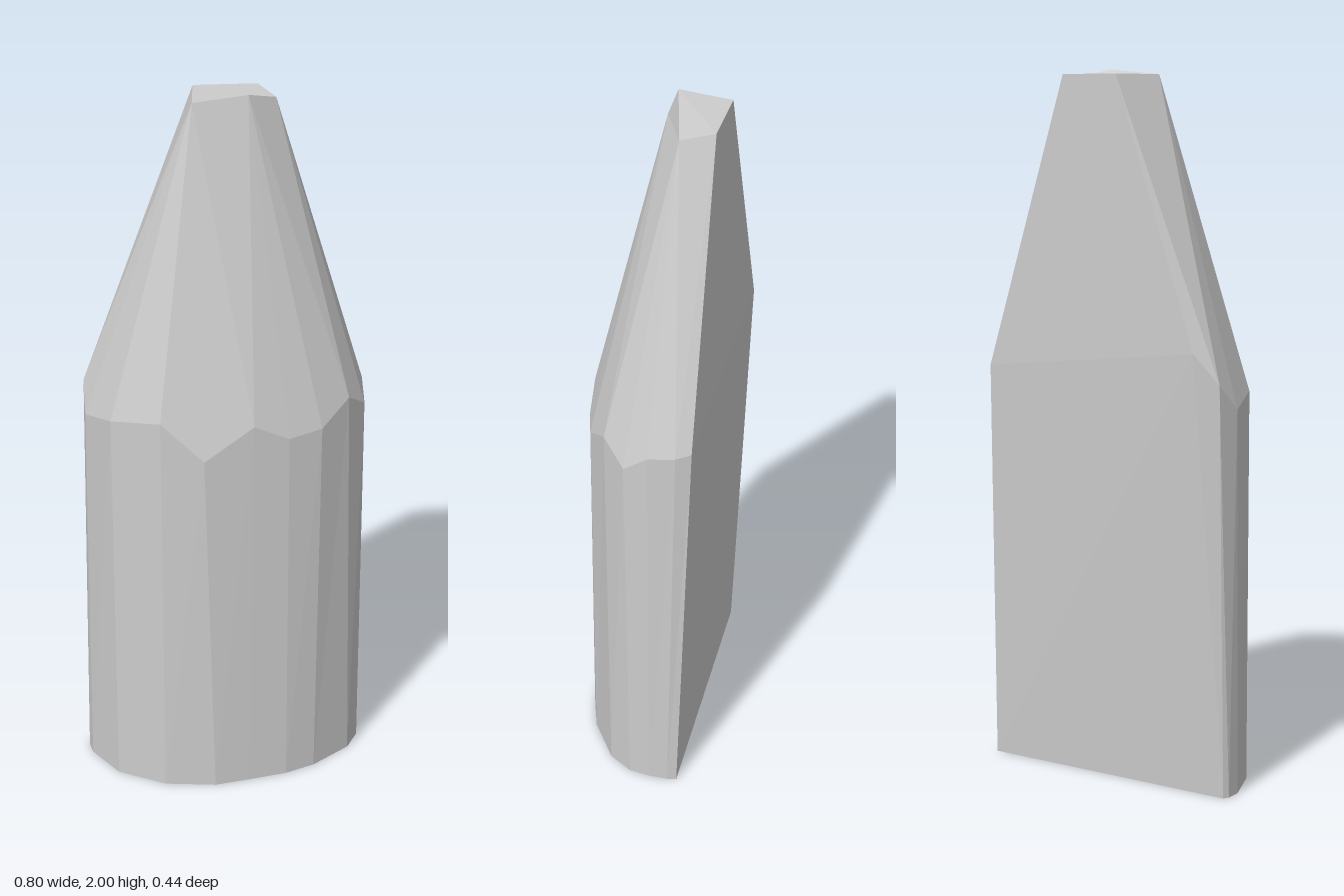
import * as THREE from 'three';

// Each rib runs from the base to the shoulder, then leans to one tip corner:
// [shoulder x, y, z, base x, base z, tip corner]; ordered from back left round the front.
const ribs = [
  [-0.345, 1.25, -0.125, -0.398, -0.052, 4],
  [-0.397, 1.165, -0.075, -0.404, -0.035, 0],
  [-0.394, 1.09, 0.0, -0.395, 0.01, 0],
  [-0.325, 1.12, 0.125, -0.32, 0.13, 0],
  [-0.19, 1.14, 0.203, -0.185, 0.205, 0],
  [-0.07, 1.03, 0.22, -0.04, 0.22, 0],
  [0.07, 1.12, 0.19, 0.06, 0.195, 1],
  [0.17, 1.07, 0.162, 0.17, 0.165, 1],
  [0.265, 1.08, 0.118, 0.255, 0.122, 1],
  [0.347, 1.14, 0.04, 0.365, 0.025, 2],
  [0.4, 1.09, -0.04, 0.4, -0.05, 2],
  [0.399, 1.14, -0.11, 0.4, -0.11, 2],
  [0.383, 1.15, -0.185, 0.392, -0.165, 3],
  [0.36, 1.16, -0.223, 0.382, -0.19, 3],
];
const tip = [
  [-0.09, 1.99, 0.005],
  [0.065, 2.0, -0.03],
  [0.145, 1.975, -0.095],
  [0.1, 1.99, -0.18],
  [-0.08, 1.995, -0.155],
];

const shoulder = ribs.map(([x, y, z]) => [x, y, z]);
const base = ribs.map((r) => [r[3], 0, r[4]]);

const material = new THREE.MeshStandardMaterial({ color: 0xcccccc, flatShading: true });

function facetMesh(name, triangles) {
  const geometry = new THREE.BufferGeometry();
  geometry.setAttribute('position', new THREE.Float32BufferAttribute(triangles.flat(2), 3));
  geometry.computeVertexNormals();
  const mesh = new THREE.Mesh(geometry, material);
  mesh.name = name;
  return mesh;
}

function fan(ring) {
  return ring.slice(2).map((p, i) => [ring[0], ring[i + 1], p]);
}

export function createModel() {
  const group = new THREE.Group();
  group.name = 'taperedHalfPost';
  const sides = [];
  const taper = [];

  for (let i = 0; i < ribs.length; i++) {
    const j = (i + 1) % ribs.length;
    // Upright facets
    sides.push([base[i], base[j], shoulder[j]], [base[i], shoulder[j], shoulder[i]]);
    // Leaning facets, bridged wherever the tip corner changes
    const a = tip[ribs[i][5]];
    const b = tip[ribs[j][5]];
    taper.push([shoulder[i], shoulder[j], a]);
    if (a !== b) taper.push([shoulder[j], b, a]);
  }

  group.add(
    facetMesh('shaft', sides),
    facetMesh('taper', taper),
    facetMesh('tipCap', fan(tip)),
    facetMesh('baseCap', fan([...base].reverse())),
  );
  return group;
}
